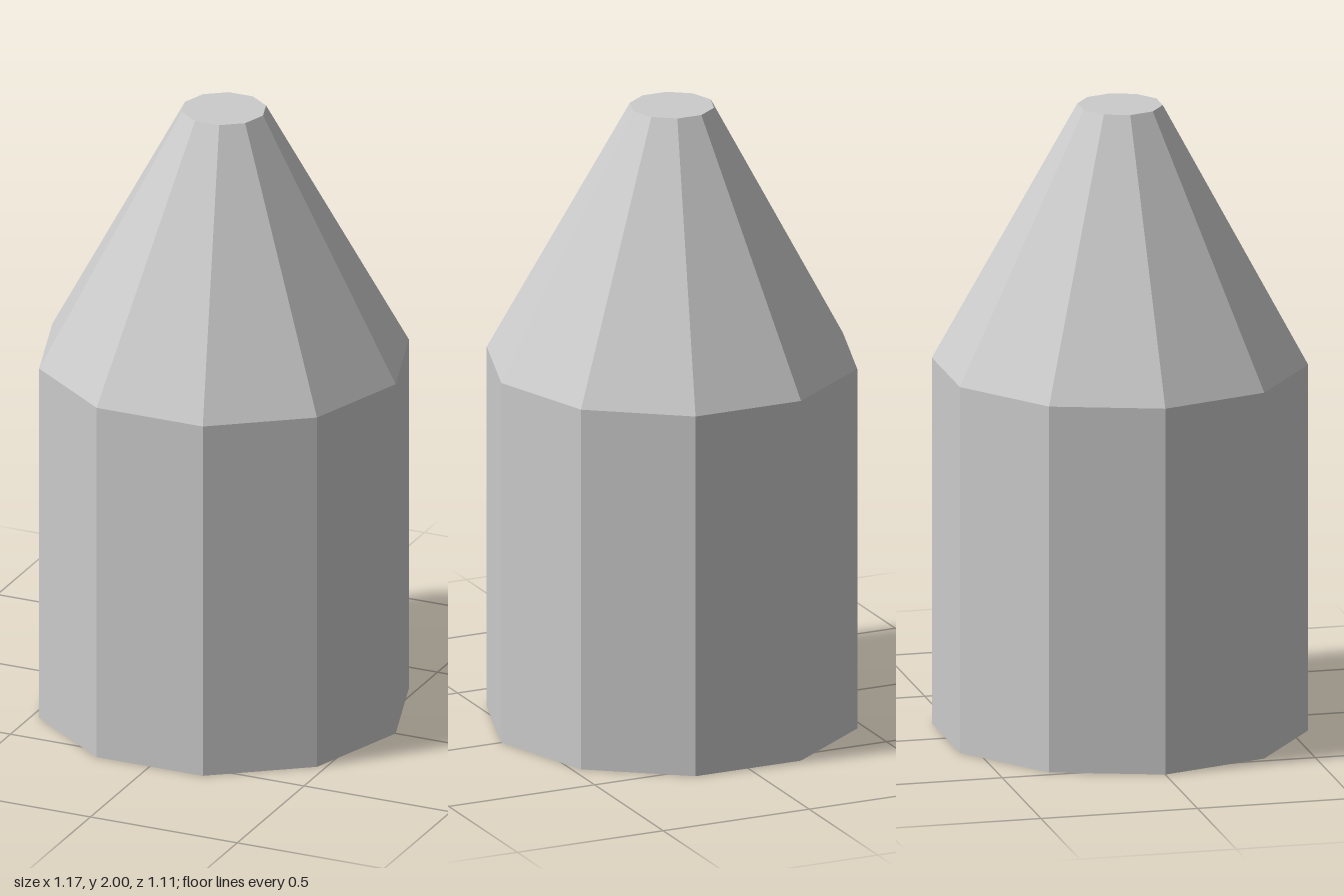
import * as THREE from 'three';

const SIDES = 10;
const RADIUS = 0.585;
const TIP_RADIUS = 0.133;
const SHOULDER = 1.175;
const HEIGHT = 2;

export function createModel() {
  const group = new THREE.Group();
  group.name = 'pointedCylinder';
  const material = new THREE.MeshStandardMaterial({ color: 0xcccccc, flatShading: true });

  // Turns a bottom-to-top [radius, y] profile with corners on the x axis
  function addTurned(name, profile) {
    const points = profile.map(([r, y]) => new THREE.Vector2(r, y));
    const mesh = new THREE.Mesh(new THREE.LatheGeometry(points, SIDES, Math.PI / 2), material);
    mesh.name = name;
    group.add(mesh);
  }

  // Straight body, closed underneath
  addTurned('body', [[0, 0], [RADIUS, 0], [RADIUS, SHOULDER]]);

  // Tapered nose with a flat tip
  addTurned('nose', [[RADIUS, SHOULDER], [TIP_RADIUS, HEIGHT], [0, HEIGHT]]);

  return group;
}
